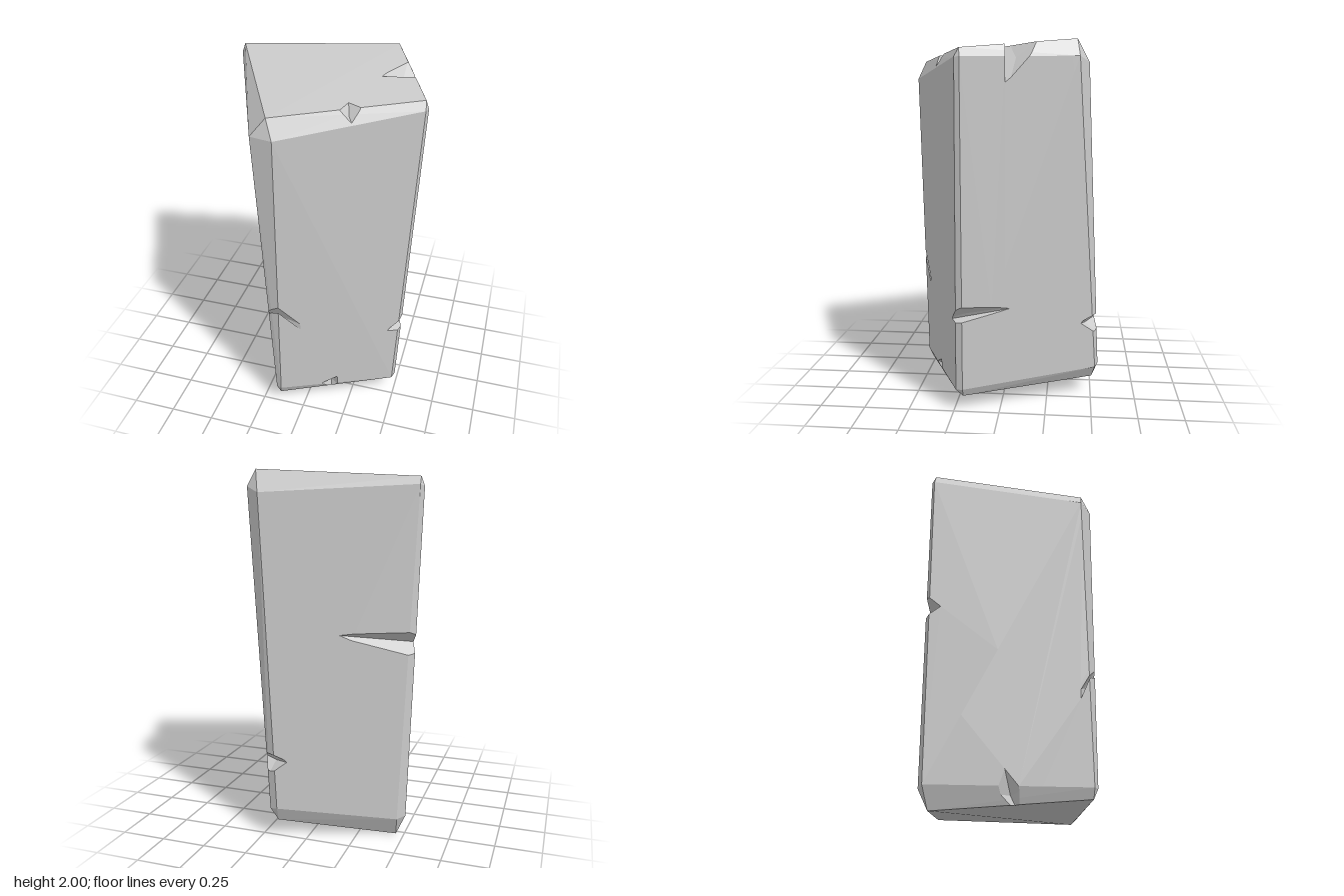
import * as THREE from 'three';
import { ConvexGeometry } from 'three/addons/geometries/ConvexGeometry.js';

const vec = (p) => new THREE.Vector3(...p);

// Convex solid as a list of triangles, each with its outward plane
function hull(points) {
  const pos = new ConvexGeometry(points).getAttribute('position');
  const faces = [];
  for (let i = 0; i < pos.count; i += 3) {
    const poly = [0, 1, 2].map((k) => new THREE.Vector3().fromBufferAttribute(pos, i + k));
    const plane = new THREE.Plane().setFromCoplanarPoints(...poly);
    if (plane.normal.lengthSq() > 0.5) faces.push({ poly, plane });
  }
  return faces;
}

// Part of a polygon on one side of a plane (side 1 = outside, -1 = inside)
function clip(poly, plane, side) {
  const out = [];
  poly.forEach((a, i) => {
    const b = poly[(i + 1) % poly.length];
    const da = plane.distanceToPoint(a) * side;
    const db = plane.distanceToPoint(b) * side;
    if (da >= 0) out.push(a);
    if ((da > 0 && db < 0) || (da < 0 && db > 0)) out.push(a.clone().lerp(b, da / (da - db)));
  });
  return out.length > 2 ? out : [];
}

// Polygon minus a convex solid
function cutAway(poly, solid) {
  const kept = [];
  let rest = poly;
  for (const { plane } of solid) {
    const outside = clip(rest, plane, 1);
    if (outside.length) kept.push(outside);
    rest = clip(rest, plane, -1);
    if (!rest.length) return [poly];
  }
  return kept;
}

// Block corners, three points each so that every edge is chamfered
const CORNERS = [
  // front
  [-0.153, 1.9, 0.5], [-0.235, 1.8, 0.517], [-0.113, 1.8, 0.54],
  [-0.145, 0.065, 0.487], [-0.165, 0.12, 0.5], [-0.135, 0.12, 0.51],
  // left
  [0.555, 1.945, 0.19], [0.57, 1.9, 0.187], [0.56, 1.9, 0.215],
  [0.475, 0.08, 0.2], [0.5, 0.125, 0.2], [0.488, 0.12, 0.238],
  // back
  [0.305, 2.0, -0.395], [0.27, 1.88, -0.46], [0.35, 1.91, -0.41],
  [0.16, 0.095, -0.505], [0.155, 0.175, -0.54], [0.2, 0.165, -0.523],
  // right
  [-0.553, 1.96, -0.275], [-0.554, 1.92, -0.298], [-0.572, 1.91, -0.275],
  [-0.455, 0, -0.275], [-0.47, 0.11, -0.326], [-0.51, 0.12, -0.285],
];

// Chips: the deepest point, then the points where the chip meets the surface
const CHIPS = [
  // front edge
  [[-0.155, 0.66, 0.465], [-0.13, 0.75, 0.515], [-0.22, 0.63, 0.46], [-0.03, 0.63, 0.47]],
  // left edge
  [[0.455, 0.545, 0.19], [0.455, 0.525, 0.255], [0.515, 0.59, 0.21], [0.435, 0.57, 0.01], [0.51, 0.525, 0.2]],
  // back edge
  [[0.185, 0.43, -0.465], [0.2, 0.47, -0.515], [0.2, 0.38, -0.52], [0.248, 0.44, -0.44], [0.11, 0.44, -0.51]],
  // right edge
  [[-0.495, 1.09, -0.27], [-0.535, 1.13, -0.29], [-0.53, 1.05, -0.295], [-0.3, 1.12, -0.365], [-0.525, 1.09, -0.24]],
  // bottom edges
  [[0.135, 0.115, 0.345], [0.18, 0.175, 0.375], [0.095, 0.13, 0.41], [0.14, 0.07, 0.36], [0.18, 0.11, 0.37]],
  [[-0.295, 0.08, 0.1], [-0.345, 0.195, 0.09], [-0.31, 0.1, 0.16], [-0.28, 0.03, 0.12], [-0.345, 0.08, 0.06]],
  // top edges
  [[0.21, 1.88, 0.33], [0.196, 1.925, 0.287], [0.18, 1.91, 0.355], [0.235, 1.86, 0.372], [0.26, 1.915, 0.325]],
  [[0.385, 1.9, -0.08], [0.312, 1.96, -0.046], [0.39, 1.975, -0.175], [0.455, 1.82, -0.065], [0.456, 1.94, -0.065]],
];

export function createModel() {
  const group = new THREE.Group();
  group.name = 'stoneBlock';

  const body = hull(CORNERS.map(vec));
  let polys = body.map((f) => f.poly);

  for (const chip of CHIPS) {
    // Cone from the deepest point, stretched past the surface
    const [apex, ...rim] = chip.map(vec);
    const solid = hull([apex, ...rim.map((p) => apex.clone().lerp(p, 2.5))]);
    polys = polys.flatMap((p) => cutAway(p, solid));
    // Inner walls of the chip: its faces kept inside the block, turned round
    for (const { poly } of solid) {
      const wall = body.reduce((p, f) => clip(p, f.plane, -1), poly);
      if (wall.length) polys.push([...wall].reverse());
    }
  }

  // Fan each polygon into flat triangles
  const points = [];
  for (const p of polys) {
    for (let i = 1; i < p.length - 1; i++) points.push(p[0], p[i], p[i + 1]);
  }
  const geometry = new THREE.BufferGeometry().setFromPoints(points);
  geometry.computeVertexNormals();

  const material = new THREE.MeshStandardMaterial({ color: 0xcccccc, flatShading: true });
  const block = new THREE.Mesh(geometry, material);
  block.name = 'chippedBlock';
  group.add(block);
  return group;
}
